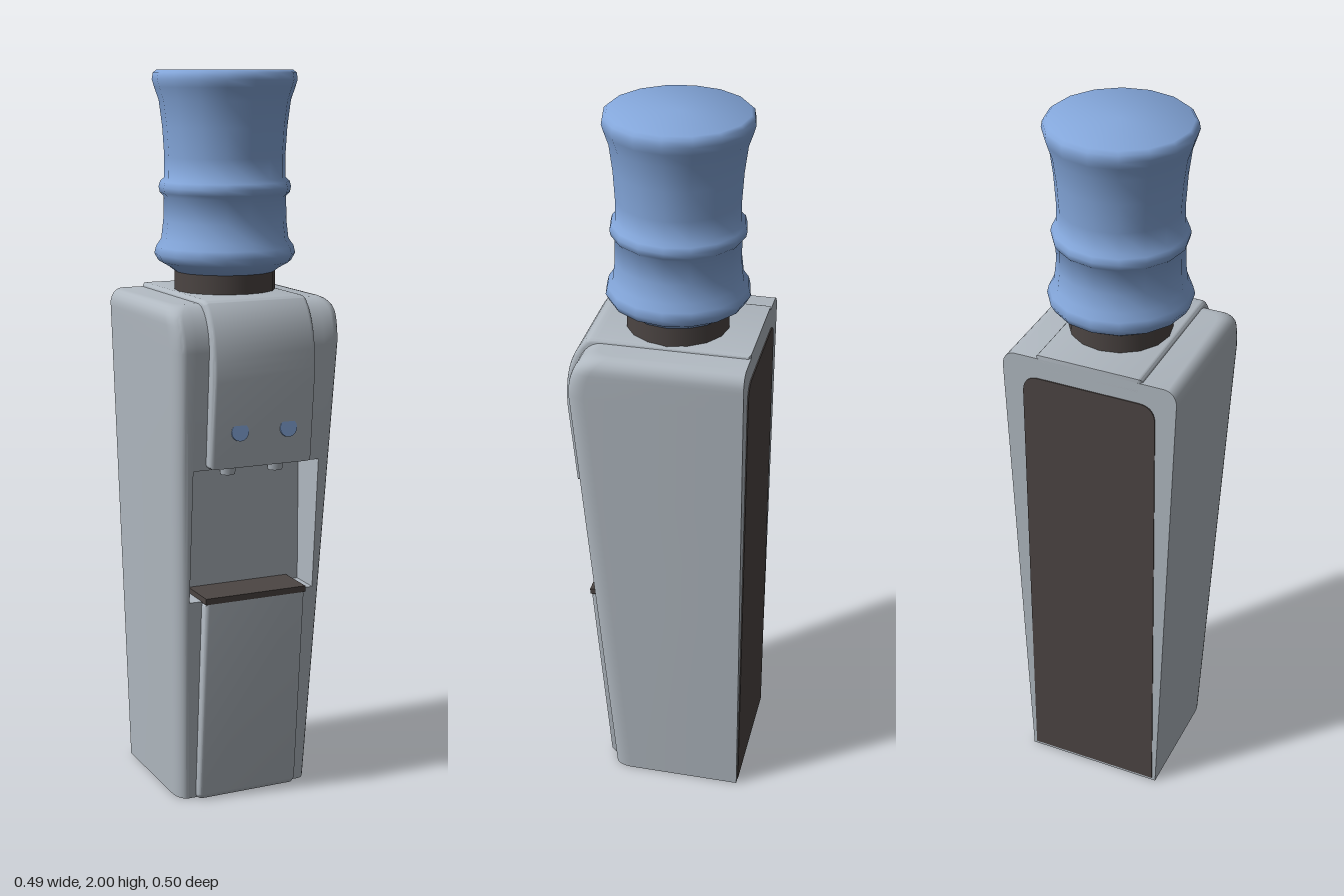
import * as THREE from 'three';
import { toCreasedNormals } from 'three/addons/utils/BufferGeometryUtils.js';

const BACK = -0.25, NICHE_LOW = 0.588, NICHE_HIGH = 0.96;

// Cabinet outline at height y, running from back left round the front to back right
function section(y, notched) {
  let halfWidth = 0.2 + 0.045 * Math.min(y / 1.36, 1);
  let front = 0.12 + 0.08 * y;
  if (y > 1.28) front = 0.222 - 0.075 * (1 - Math.sqrt(Math.max(0, 1 - ((y - 1.28) / 0.12) ** 2)));
  if (y > 1.36) halfWidth -= 0.035 * (1 - Math.sqrt(Math.max(0, 1 - ((y - 1.36) / 0.04) ** 2)));
  const right = [];
  const notchZ = notched ? 0.075 : front;
  const notchX = 0.186 * Math.min(1, (halfWidth - 0.03) / 0.186);
  right.push([notchX, notchZ], [notchX, front]);
  for (let i = 0; i <= 6; i++) {
    const a = (i / 6) * Math.PI / 2;
    right.push([halfWidth - 0.03 * (1 - Math.sin(a)), front - 0.05 * (1 - Math.cos(a))]);
  }
  right.push([halfWidth, BACK]);
  const left = right.map(([x, z]) => [-x, z]).reverse();
  return [...left, ...right].map(([x, z]) => new THREE.Vector3(x, y, z));
}

// Cabinet lofted through its sections, with the niche stepped in
function cabinetGeometry() {
  const rows = [section(0, false), section(NICHE_LOW, false), section(NICHE_LOW, true),
    section(NICHE_HIGH, true), section(NICHE_HIGH, false), section(1.28, false)];
  for (let i = 1; i <= 10; i++) rows.push(section(1.28 + 0.12 * Math.sin((i / 10) * Math.PI / 2), false));
  const positions = [];
  const tri = (a, b, c) => {
    const area = b.clone().sub(a).cross(c.clone().sub(a)).length();
    if (area > 1e-9) for (const p of [a, b, c]) positions.push(p.x, p.y, p.z);
  };
  const n = rows[0].length;
  for (let r = 0; r < rows.length - 1; r++) {
    for (let i = 0; i < n; i++) {
      const j = (i + 1) % n;
      tri(rows[r][i], rows[r][j], rows[r + 1][j]);
      tri(rows[r][i], rows[r + 1][j], rows[r + 1][i]);
    }
  }
  const top = rows[rows.length - 1], bottom = rows[0];
  const topCentre = new THREE.Vector3(0, top[0].y, 0), bottomCentre = new THREE.Vector3(0, 0, 0);
  for (let i = 0; i < n; i++) {
    const j = (i + 1) % n;
    tri(topCentre, top[i], top[j]);
    tri(bottomCentre, bottom[j], bottom[i]);
  }
  const geometry = new THREE.BufferGeometry();
  geometry.setAttribute('position', new THREE.Float32BufferAttribute(positions, 3));
  return toCreasedNormals(geometry, 0.6);
}

// Side profile drawn as (z, y), extruded across the width with softened edges
function panelGeometry(shape, halfWidth) {
  const b = 0.012;
  const geometry = new THREE.ExtrudeGeometry(shape, {
    depth: 2 * (halfWidth - b), bevelThickness: b, bevelSize: b, bevelOffset: -b,
    bevelSegments: 3, curveSegments: 10,
  });
  geometry.translate(0, 0, -(halfWidth - b)).rotateY(-Math.PI / 2);
  return toCreasedNormals(geometry, 0.6);
}

export function createModel() {
  const group = new THREE.Group();
  const paint = (name, color) => {
    const m = new THREE.MeshStandardMaterial({ color });
    m.name = name;
    return m;
  };
  const grey = paint('cabinet grey', 0xb0b8c0);
  const blue = paint('water blue', 0x84a7db);
  const dark = paint('dark trim', 0x4c4543);
  const add = (name, geometry, material, x = 0, y = 0, z = 0) => {
    const mesh = new THREE.Mesh(geometry, material);
    mesh.name = name;
    mesh.position.set(x, y, z);
    group.add(mesh);
    return mesh;
  };

  add('cabinet', cabinetGeometry(), grey);

  // Raised hood over the top and upper front
  const hood = new THREE.Shape();
  hood.moveTo(BACK, 1.34);
  hood.lineTo(0.13, 1.2);
  hood.lineTo(0.13, 0.963);
  hood.lineTo(0.226, 0.966);
  hood.lineTo(0.248, 1.2);
  hood.bezierCurveTo(0.252, 1.29, 0.235, 1.36, 0.192, 1.402);
  hood.quadraticCurveTo(0.185, 1.411, 0.16, 1.411);
  hood.lineTo(BACK, 1.411);
  add('hood', panelGeometry(hood, 0.15), grey);

  // Lower front panel
  const lower = new THREE.Shape();
  lower.moveTo(0.05, 0);
  lower.lineTo(0.134, 0);
  lower.lineTo(0.145, 0.014);
  lower.lineTo(0.195, 0.586);
  lower.lineTo(0.05, 0.586);
  add('lowerPanel', panelGeometry(lower, 0.15), grey);

  // Drip tray on the niche floor
  add('dripTray', new THREE.BoxGeometry(0.3, 0.017, 0.121), dark, 0, 0.5945, 0.1365);

  // Taps and their round blue markers
  for (const [side, x] of [['right', -0.068], ['left', 0.074]]) {
    add(side + 'Tap', new THREE.CylinderGeometry(0.026, 0.02, 0.035, 12), grey, x, 0.952, 0.155);
    const marker = add(side + 'Marker', new THREE.CylinderGeometry(0.025, 0.025, 0.006, 16), blue, x, 1.065, 0.2355);
    marker.rotation.x = Math.PI / 2 - 0.094;
  }

  // Dark back plate with rounded upper corners
  const back = new THREE.Shape();
  back.moveTo(-0.19, 0.01);
  back.lineTo(0.19, 0.01);
  back.lineTo(0.187, 1.29);
  back.quadraticCurveTo(0.187, 1.34, 0.14, 1.34);
  back.lineTo(-0.14, 1.34);
  back.quadraticCurveTo(-0.187, 1.34, -0.187, 1.29);
  add('backPlate', new THREE.ExtrudeGeometry(back, { depth: 0.005, bevelEnabled: false }), dark, 0, 0, BACK - 0.003);

  // Collar and ribbed bottle
  const bx = 0.007, bz = -0.027;
  add('collar', new THREE.CylinderGeometry(0.138, 0.138, 0.06, 16), dark, bx, 1.435, bz);
  const profile = [[0, 1.46], [0.135, 1.46], [0.155, 1.475], [0.182, 1.49], [0.193, 1.51], [0.188, 1.53],
    [0.174, 1.55], [0.168, 1.6], [0.167, 1.665], [0.177, 1.675], [0.18, 1.69], [0.176, 1.705], [0.165, 1.715],
    [0.164, 1.77], [0.169, 1.85], [0.178, 1.92], [0.19, 1.955], [0.196, 1.975], [0.193, 1.992], [0.184, 2], [0, 2]];
  const bottle = new THREE.LatheGeometry(profile.map(([r, y]) => new THREE.Vector2(r, y)), 16);
  add('bottle', toCreasedNormals(bottle, 0.9), blue, bx, 0, bz);

  return group;
}
